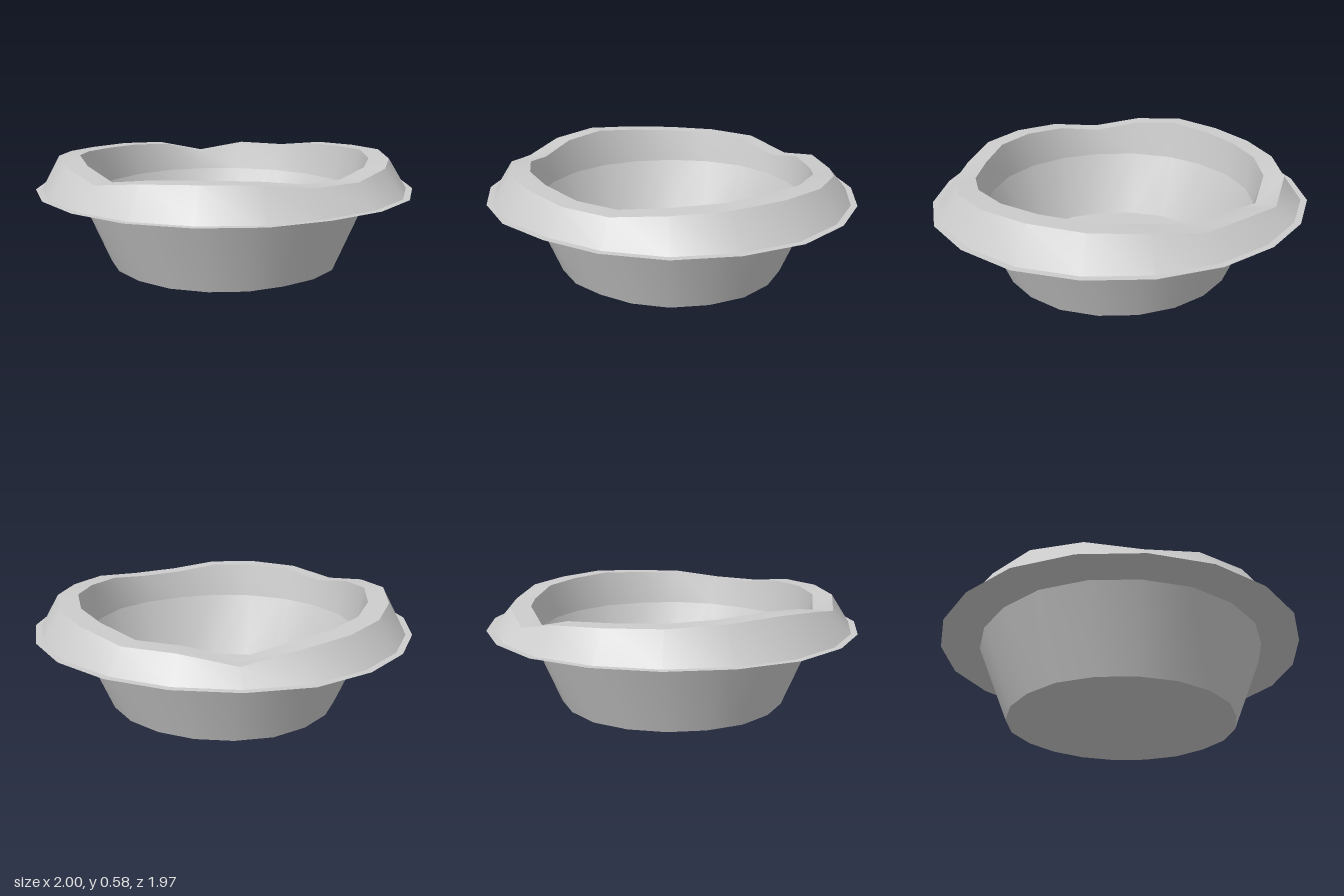
import * as THREE from 'three';

const SIDES = 20;
const TWIST = 0.012;
const Z_SCALE = 0.986;

// Uneven height of the rim, one value per side, starting at +x and turning towards +z
const RIM = [
  0.555, 0.528, 0.53, 0.56, 0.565, 0.555, 0.52, 0.565, 0.585, 0.57,
  0.557, 0.55, 0.535, 0.475, 0.525, 0.52, 0.555, 0.565, 0.575, 0.565,
];

// Slightly lopsided outline: a radius factor for each side
const OUTLINE = [
  1, 0.98, 0.962, 0.98, 0.99, 1, 1, 1.005, 1.01, 1,
  1, 1.005, 1.015, 1.005, 1, 1, 1.005, 1.01, 1.015, 1.003,
];

// Both parts are thin open sheets
const grey = new THREE.MeshStandardMaterial({ color: 0xcccccc, side: THREE.DoubleSide });

// A ring is [radius, height]; the height is a number or a list with one value per side
function ringPoints([radius, height]) {
  const points = [];
  for (let i = 0; i < SIDES; i++) {
    const a = (i / SIDES) * Math.PI * 2 + TWIST;
    const r = radius * OUTLINE[i];
    const y = Array.isArray(height) ? height[i] : height;
    points.push(r * Math.cos(a), y, r * Math.sin(a) * Z_SCALE);
  }
  return points;
}

// One band between two rings: smooth around, sharp towards its neighbours
function band(name, from, to) {
  const index = [];
  for (let i = 0; i < SIDES; i++) {
    const j = (i + 1) % SIDES;
    index.push(i, SIDES + i, SIDES + j);
    if (from[0] > 0) index.push(i, SIDES + j, j);
  }
  const geometry = new THREE.BufferGeometry();
  const points = [...ringPoints(from), ...ringPoints(to)];
  geometry.setAttribute('position', new THREE.Float32BufferAttribute(points, 3));
  geometry.setIndex(index);
  geometry.computeVertexNormals();
  const mesh = new THREE.Mesh(geometry, grey);
  mesh.name = name;
  return mesh;
}

function part(name, ...bands) {
  const group = new THREE.Group();
  group.name = name;
  group.add(...bands);
  return group;
}

export function createModel() {
  // Thin tapered dish with a flat lip
  const dish = part(
    'dish',
    band('dishBase', [0, 0], [0.622, 0]),
    band('dishWall', [0.622, 0], [0.79, 0.41]),
    band('dishLip', [0.79, 0.41], [0.998, 0.41]),
  );

  // Wavy crust resting on the lip and hanging a little way into the dish
  const crust = part(
    'crust',
    band('crustSlope', [0.965, 0.41], [0.87, RIM]),
    band('crustTop', [0.87, RIM], [0.765, RIM]),
    band('crustInside', [0.765, RIM], [0.728, 0.37]),
  );

  return part('pieShell', dish, crust);
}
